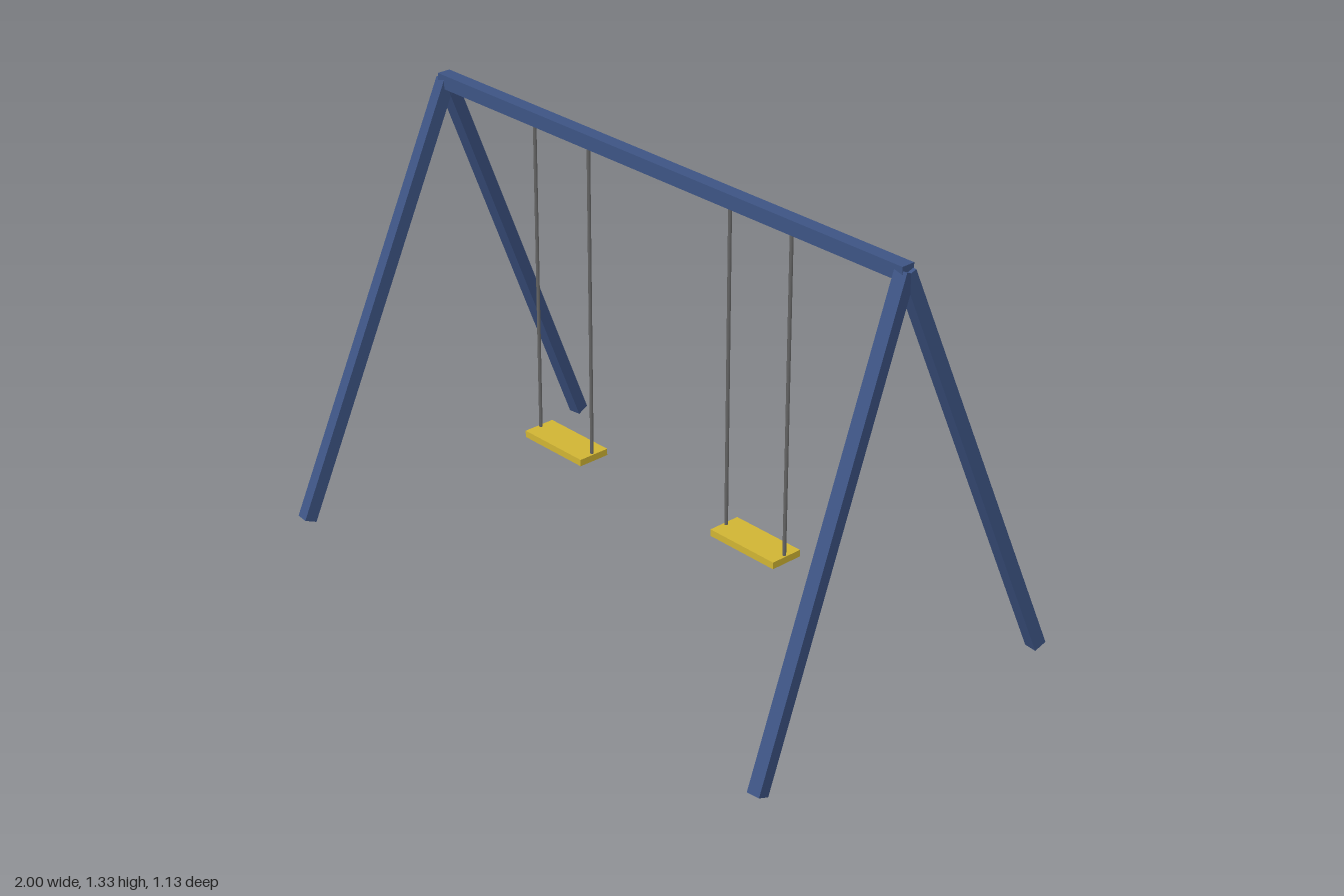
import * as THREE from 'three';

const paint = (name, color) => {
  const m = new THREE.MeshStandardMaterial({ color });
  m.name = name;
  return m;
};

export function createModel() {
  const blue = paint('blue frame', 0x3d5484);
  const yellow = paint('yellow seat', 0xd0b434);
  const grey = paint('grey chain', 0x666666);

  const model = new THREE.Group();
  model.name = 'swingSet';
  const add = (parent, name, geometry, material, x, y, z) => {
    const mesh = new THREE.Mesh(geometry, material);
    mesh.name = name;
    mesh.position.set(x, y, z);
    parent.add(mesh);
    return mesh;
  };

  // Top beam
  const beamY = 1.305;
  add(model, 'topBeam', new THREE.BoxGeometry(1.86, 0.043, 0.043), blue, 0, beamY, 0);

  // Four splayed legs, each a square bar from the beam end to its foot
  for (const sx of [-1, 1]) {
    for (const sz of [-1, 1]) {
      const top = new THREE.Vector3(sx * 0.92, beamY, 0);
      const foot = new THREE.Vector3(sx * 0.979, 0.008, sz * 0.545);
      const middle = top.clone().add(foot).multiplyScalar(0.5);
      const bar = new THREE.BoxGeometry(0.041, 0.041, top.distanceTo(foot));
      const name = (sz > 0 ? 'front' : 'back') + (sx > 0 ? 'Left' : 'Right') + 'Leg';
      add(model, name, bar, blue, ...middle.toArray()).lookAt(foot);
    }
  }

  // Two swings, each a seat hung from two chains
  const chainLength = beamY - 0.3;
  const chain = new THREE.CylinderGeometry(0.0055, 0.0055, chainLength, 6);
  const seat = new THREE.BoxGeometry(0.25, 0.021, 0.104);
  for (const sx of [-1, 1]) {
    const swing = new THREE.Group();
    swing.name = sx > 0 ? 'leftSwing' : 'rightSwing';
    swing.position.x = sx * 0.402;
    add(swing, 'seat', seat, yellow, 0, 0.3, 0);
    for (const side of [-1, 1]) {
      add(swing, 'chain', chain, grey, side * 0.116, 0.3 + chainLength / 2, 0);
    }
    model.add(swing);
  }
  return model;
}
